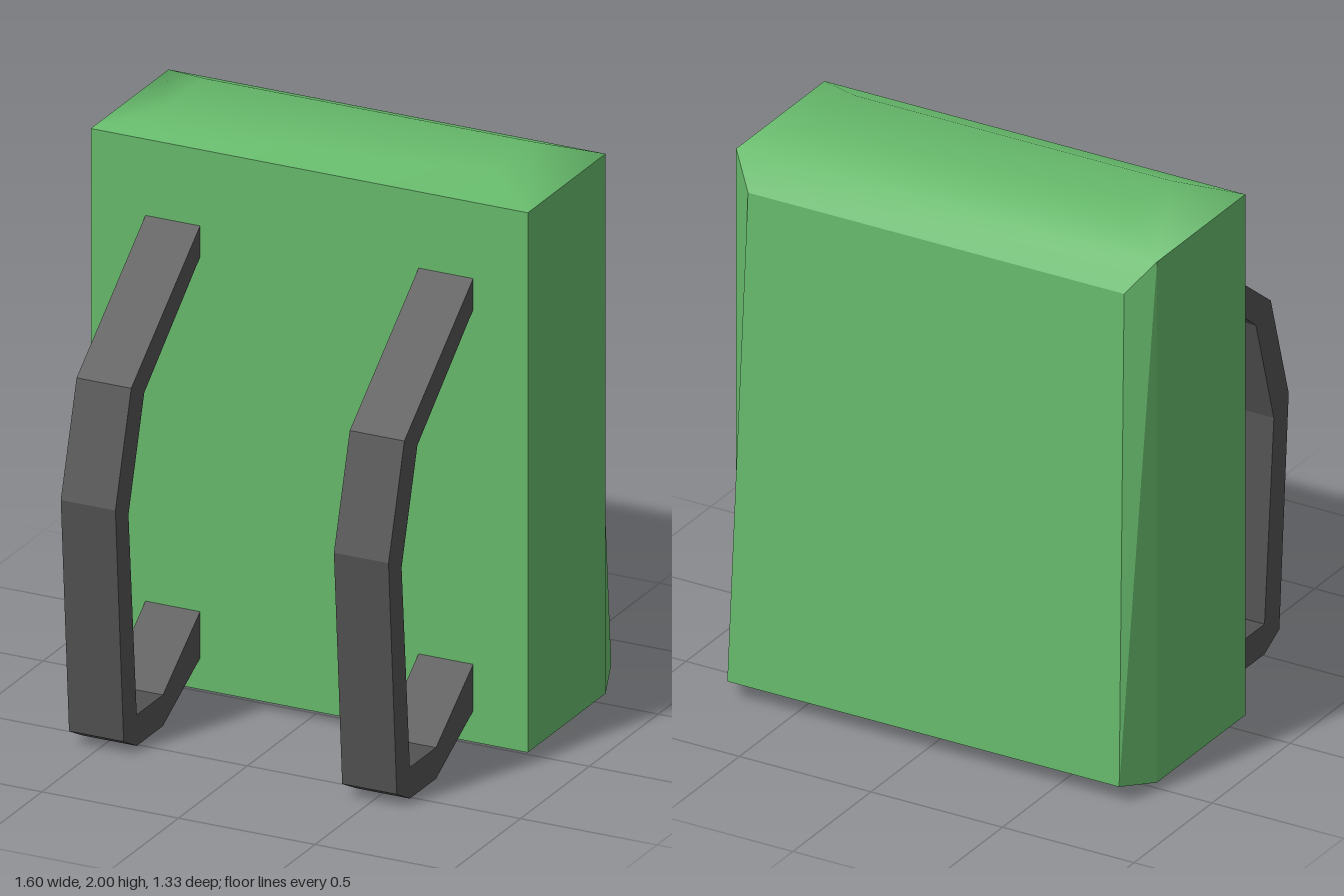
import * as THREE from 'three';

const green = new THREE.MeshStandardMaterial({ color: 0x66b96b });
green.name = 'packGreen';
const grey = new THREE.MeshStandardMaterial({ color: 0x525252 });
grey.name = 'strapGrey';

// Rectangle of four corners at one depth, bottom-left first
const ring = (xLow, xHigh, yLow, yHigh, zLow, zHigh) => [
  [-xLow, yLow, zLow], [xLow, yLow, zLow], [xHigh, yHigh, zHigh], [-xHigh, yHigh, zHigh],
];
const corners = [
  ...ring(0.8, 0.8, 0.03, 1.94, 0.05, 0.05),          // 0-3 front face
  ...ring(0.8, 0.8, 0.03, 1.94, -0.515, -0.515),      // 4-7 end of the sides
  ...ring(0.745, 0.715, 0.065, 1.83, -0.665, -0.583), // 8-11 back panel
  ...ring(0.6, 0.6, 2, 2, -0.09, -0.37),              // 12-15 crown
];

function shell(quads, smooth) {
  let geometry = new THREE.BufferGeometry();
  geometry.setAttribute('position', new THREE.Float32BufferAttribute(corners.flat(), 3));
  geometry.setIndex(quads.flatMap(([a, b, c, d]) => [a, b, c, a, c, d]));
  if (!smooth) geometry = geometry.toNonIndexed();
  geometry.computeVertexNormals();
  return geometry;
}

function addMesh(parent, name, geometry, material) {
  const mesh = new THREE.Mesh(geometry, material);
  mesh.name = name;
  parent.add(mesh);
  return mesh;
}

export function createModel() {
  const model = new THREE.Group();
  model.name = 'backpack';

  // Flat walls with bevelled back edges
  addMesh(model, 'bagBody', shell([
    [0, 1, 2, 3], [1, 5, 6, 2], [4, 0, 3, 7], [4, 5, 1, 0],
    [5, 9, 10, 6], [8, 4, 7, 11], [8, 9, 5, 4], [9, 8, 11, 10],
  ], false), green);

  // Softly shaded domed top, running down to the back panel
  addMesh(model, 'bagTop', shell([
    [3, 2, 13, 12], [2, 6, 14, 13], [6, 7, 15, 14],
    [7, 3, 12, 15], [12, 13, 14, 15], [10, 11, 7, 6],
  ], true), green);

  // Shoulder straps: side profile as (z, y), extruded across the width
  const profile = new THREE.Shape([
    [0.05, 0.14], [0.32, 0], [0.51, 0], [0.605, 0.05], [0.665, 0.89], [0.55, 1.28], [0.05, 1.67],
    [0.05, 1.56], [0.455, 1.23], [0.57, 0.84], [0.51, 0.11], [0.32, 0.11], [0.05, 0.305],
  ].map(([z, y]) => new THREE.Vector2(z, y)));
  const strap = new THREE.ExtrudeGeometry(profile, { depth: 0.2, bevelEnabled: false });
  strap.translate(0, 0, -0.1).rotateY(-Math.PI / 2);
  for (const [name, x] of [['leftStrap', 0.5], ['rightStrap', -0.5]]) {
    addMesh(model, name, strap, grey).position.x = x;
  }

  return model;
}
